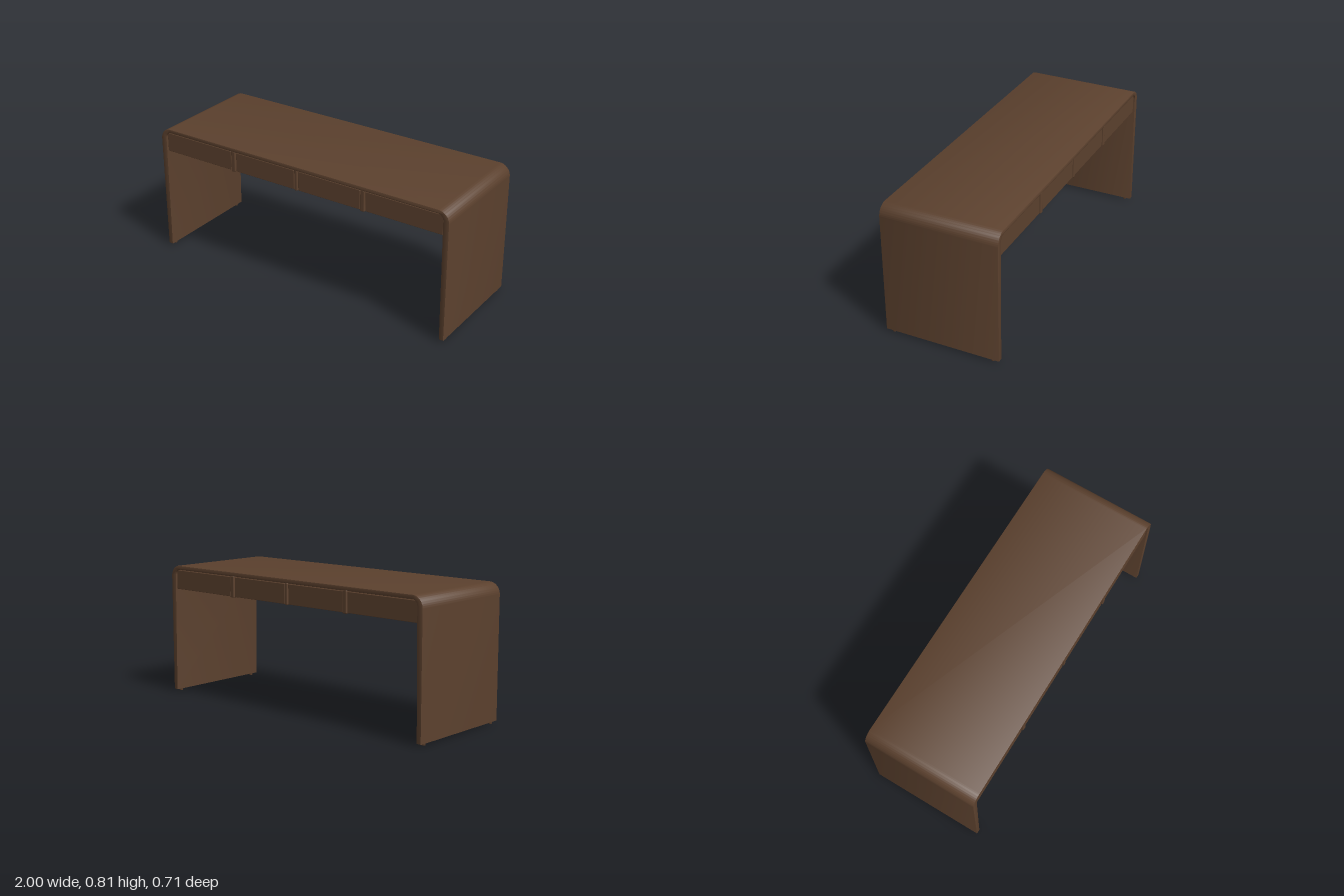
import * as THREE from 'three';
import { toCreasedNormals } from 'three/addons/utils/BufferGeometryUtils.js';
import { RoundedBoxGeometry } from 'three/addons/geometries/RoundedBoxGeometry.js';

export function createModel() {
  const desk = new THREE.Group();
  desk.name = 'desk';
  const walnut = new THREE.MeshStandardMaterial({ color: 0x5c412e });
  walnut.name = 'walnut';

  const add = (name, geometry, x = 0, y = 0, z = 0) => {
    const mesh = new THREE.Mesh(geometry, walnut);
    mesh.name = name;
    mesh.position.set(x, y, z);
    desk.add(mesh);
  };
  const slab = (name, w, h, d, x, y, z, r = 0.003) =>
    add(name, new RoundedBoxGeometry(w, h, d, 2, r), x, y, z);

  const TOP = 0.814, BASE = 0.012, HALF_DEPTH = 0.356;

  // Waterfall shell: top and both side panels in one bent sheet, legs tapering downwards
  const R = 0.07, r = 0.035, under = 0.79, inner = 0.962, foot = 0.971;
  const s = new THREE.Shape();
  s.moveTo(-1, BASE);
  s.lineTo(-foot, BASE);
  s.lineTo(-inner, under - r);
  s.absarc(-inner + r, under - r, r, Math.PI, Math.PI / 2, true);
  s.absarc(inner - r, under - r, r, Math.PI / 2, 0, true);
  s.lineTo(foot, BASE);
  s.lineTo(1, BASE);
  s.absarc(1 - R, TOP - R, R, 0, Math.PI / 2, false);
  s.absarc(R - 1, TOP - R, R, Math.PI / 2, Math.PI, false);
  s.closePath();
  const bevel = 0.004;
  const shell = new THREE.ExtrudeGeometry(s, {
    depth: 2 * (HALF_DEPTH - bevel), curveSegments: 16,
    bevelThickness: bevel, bevelSize: bevel, bevelOffset: -bevel, bevelSegments: 2,
  });
  shell.translate(0, 0, bevel - HALF_DEPTH);
  add('shell', toCreasedNormals(shell, 0.6));

  // Drawer compartment below the top
  add('drawerCompartment', new THREE.BoxGeometry(1.93, 0.126, 0.67), 0, 0.729, 0);

  // Four drawer fronts on each long side
  const edges = [-0.962, -0.468, -0.435, -0.012, 0.012, 0.435, 0.468, 0.962];
  for (const side of [1, -1]) {
    for (let i = 0; i < edges.length; i += 2) {
      const w = edges[i + 1] - edges[i] - 0.004;
      slab('drawerFront', w, 0.12, 0.02, (edges[i] + edges[i + 1]) / 2, 0.724, side * 0.336);
    }
    // Short centre divider
    slab('centreDivider', 0.02, 0.13, 0.03, 0, 0.726, side * 0.336, 0.005);
  }

  // Outer dividers run the full depth as rails
  for (const x of [-0.4515, 0.4515])
    slab('dividerRail', 0.029, 0.132, 0.704, x, 0.725, 0, 0.006);

  // Small glides under the side panels
  for (const x of [-0.985, 0.985])
    for (const z of [-0.312, 0.312])
      add('glide', new THREE.CylinderGeometry(0.013, 0.01, 0.014, 20), x, 0.007, z);

  return desk;
}
